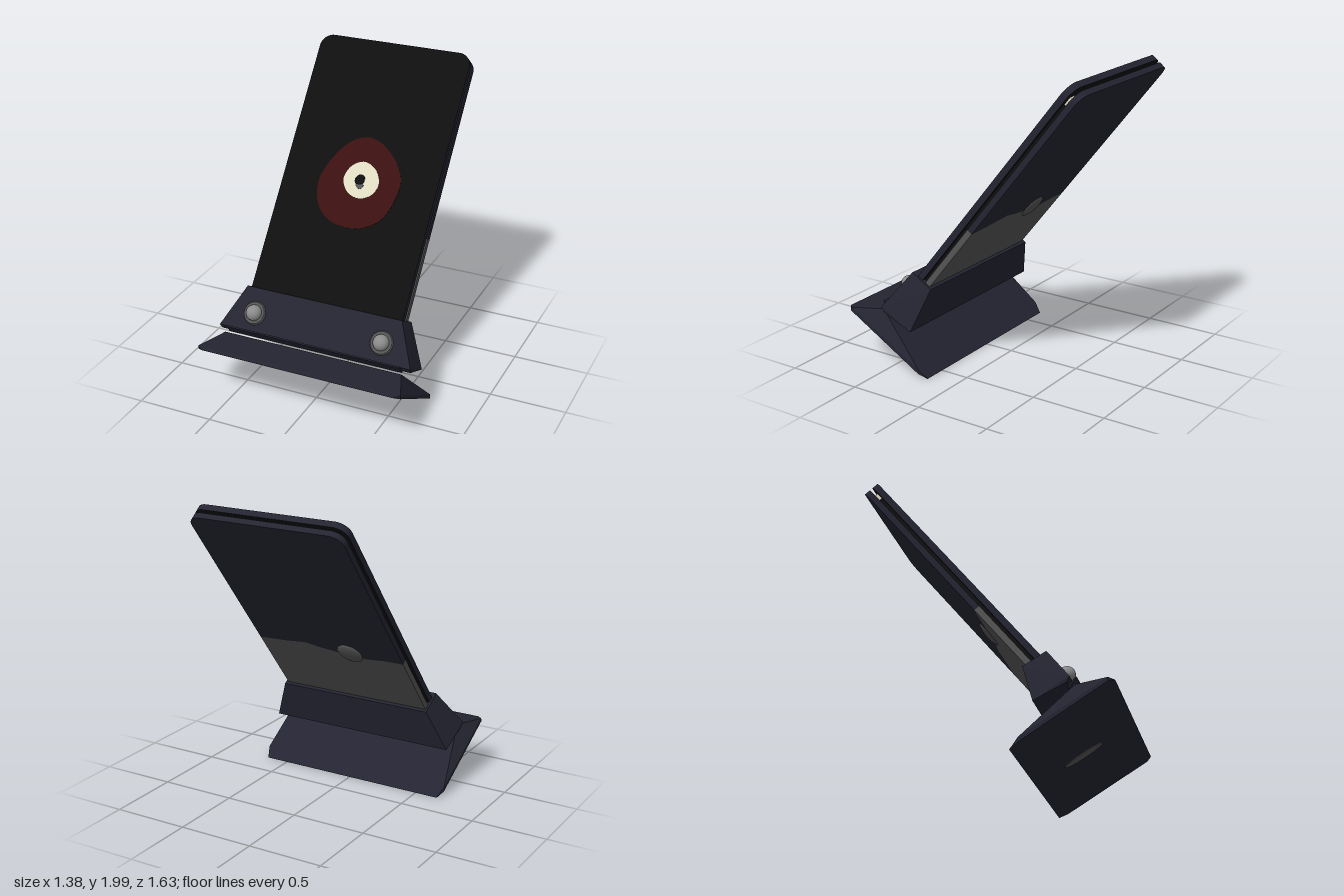
import * as THREE from 'three';
import { ConvexGeometry } from 'three/addons/geometries/ConvexGeometry.js';

const V = (x, y, z) => new THREE.Vector3(x, y, z);
const TILT = 0.672, HALF = 0.525, LEN = 1.778, CORNER = 0.085;

export function createModel() {
  const mat = (name, color, side = THREE.FrontSide) => {
    const m = new THREE.MeshStandardMaterial({ color, side });
    m.name = name;
    return m;
  };
  const shell = mat('dark slate', 0x242432);
  const black = mat('screen black', 0x0f0f0f);
  const red = mat('deep red', 0x3c1010);
  const cream = mat('cream', 0xe0dbc2);
  const grey = mat('dark grey', 0x555555);
  const steel = mat('steel grey', 0x8c8c8c);

  const model = new THREE.Group();
  const add = (parent, name, geometry, material, x = 0, y = 0, z = 0) => {
    const m = new THREE.Mesh(geometry, material);
    m.name = name;
    m.position.set(x, y, z);
    parent.add(m);
    return m;
  };
  // Faceted solid from points on the +x side, mirrored to -x
  const mirroredHull = (pts) =>
    new ConvexGeometry(pts.flatMap(([x, y, z]) => [V(x, y, z), V(-x, y, z)]));
  const extrude = (shape, depth) =>
    new THREE.ExtrudeGeometry(shape, { depth, bevelEnabled: false, curveSegments: 8 });

  // Wedge foot with a thin lip and a ridge under the clamp
  add(model, 'foot', mirroredHull([
    [0.65, 0.362, 0.81], [0.69, 0.367, 0.775], [0.69, 0.345, 0.778],
    [0.61, 0.376, 0.57], [0.68, 0.06, 0.25], [0.68, 0.03, 0.25], [0.655, 0, 0.195],
  ]), shell);
  // Oval plate on the sloping underside
  const oval = add(model, 'undersideOval', new THREE.CylinderGeometry(0.04, 0.04, 0.008, 28), grey, 0, 0.173, 0.493);
  oval.rotation.x = Math.atan2(0.36, -0.61) + Math.PI;
  oval.rotation.x = -Math.atan2(0.362, 0.615);
  oval.scale.z = 3.4;

  // Thin hinge strip between foot and clamp
  const hinge = add(model, 'hingeStrip', new THREE.BoxGeometry(1.2, 0.08, 0.01), shell, 0, 0.397, 0.553);
  hinge.rotation.x = -Math.atan2(0.04, -0.05) + Math.PI;

  // Tapered clamp
  add(model, 'clamp', mirroredHull([
    [0.535, 0.64, 0.39], [0.54, 0.555, 0.245],
    [0.66, 0.41, 0.55], [0.655, 0.375, 0.53], [0.65, 0.285, 0.33],
  ]), shell);

  // Domed bolts on washers
  for (const side of [-1, 1]) {
    const bolt = new THREE.Group();
    bolt.name = side > 0 ? 'leftBolt' : 'rightBolt';
    bolt.position.set(side * 0.44, 0.508, 0.482);
    bolt.rotation.x = -0.63;
    const washer = add(bolt, 'washer', new THREE.CylinderGeometry(0.07, 0.083, 0.022, 28), grey);
    washer.rotation.x = Math.PI / 2;
    add(bolt, 'boltHead', new THREE.SphereGeometry(0.052, 24, 16), steel, 0, 0, 0.012);
    model.add(bolt);
  }

  // Tilted tablet; local y runs up the screen, local z out of it
  const tablet = new THREE.Group();
  tablet.name = 'tablet';
  tablet.position.set(0, 0.6, 0.37);
  tablet.rotation.x = -TILT;
  model.add(tablet);

  // Plate outline with rounded top corners over a given lower edge (left to right)
  const plate = (lower) => {
    const s = new THREE.Shape();
    lower.forEach(([x, y], i) => (i ? s.lineTo(x, y) : s.moveTo(x, y)));
    s.lineTo(HALF, LEN - CORNER);
    s.absarc(HALF - CORNER, LEN - CORNER, CORNER, 0, Math.PI / 2, false);
    s.absarc(CORNER - HALF, LEN - CORNER, CORNER, Math.PI / 2, Math.PI, false);
    s.closePath();
    return s;
  };
  const bottom = [[-HALF, -0.05], [HALF, -0.05]];
  add(tablet, 'screenPlate', extrude(plate(bottom), 0.042), [black, shell], 0, 0, -0.042);

  // Back plate, split along a wavy line into slate and grey
  const wave = [[-HALF, 0.55], [-0.4, 0.55], [-0.26, 0.53], [-0.08, 0.55],
    [0.05, 0.57], [0.17, 0.6], [0.32, 0.58], [HALF, 0.565]];
  add(tablet, 'backPlate', extrude(plate(wave), 0.04), shell, 0, 0, -0.105);
  const lowerShape = new THREE.Shape([...bottom, ...wave.slice().reverse()]
    .map(([x, y]) => new THREE.Vector2(x, y)));
  add(tablet, 'backPlateLower', extrude(lowerShape, 0.04), grey, 0, 0, -0.105);
  const button = add(tablet, 'backButton', new THREE.SphereGeometry(0.088, 28, 16), grey, -0.15, 0.565, -0.103);
  button.scale.z = 0.25;

  // Recessed core between the plates, with small pale pads at the top
  add(tablet, 'core', new THREE.BoxGeometry(1.0, 1.69, 0.03), black, 0, 0.8, -0.053);
  for (const side of [-1, 1])
    add(tablet, 'spacerPad', new THREE.BoxGeometry(0.06, 0.06, 0.022), cream, side * 0.455, 1.675, -0.053);

  // Eye painted on the screen, as stacked thin plates
  const blob = (pts) => {
    const curve = new THREE.CatmullRomCurve3(pts.map(([x, y]) => V(x, (y - 0.6) / Math.cos(TILT), 0)), true);
    return new THREE.Shape(curve.getPoints(64).slice(0, -1).map((p) => new THREE.Vector2(p.x, p.y)));
  };
  const paint = (name, pts, material, depth) => add(tablet, name, extrude(blob(pts), depth), material);
  paint('eyeSurround', [[0, 1.483], [-0.11, 1.453], [-0.205, 1.365], [-0.27, 1.225], [-0.23, 1.1],
    [-0.125, 1.028], [0.06, 1.012], [0.21, 1.075], [0.275, 1.2], [0.272, 1.31], [0.14, 1.438]], red, 0.003);
  paint('eyeWhite', [[0.01, 1.355], [-0.07, 1.325], [-0.105, 1.255], [-0.06, 1.19], [0.025, 1.165],
    [0.105, 1.19], [0.14, 1.25], [0.1, 1.32]], cream, 0.005);
  paint('eyeGlint', [[0.015, 1.25], [-0.015, 1.235], [0.0, 1.218], [0.025, 1.213], [0.04, 1.235]], grey, 0.007);
  paint('pupil', [[0.005, 1.288], [-0.025, 1.265], [-0.018, 1.24], [0.01, 1.235], [0.037, 1.25], [0.033, 1.28]], black, 0.009);

  return model;
}
